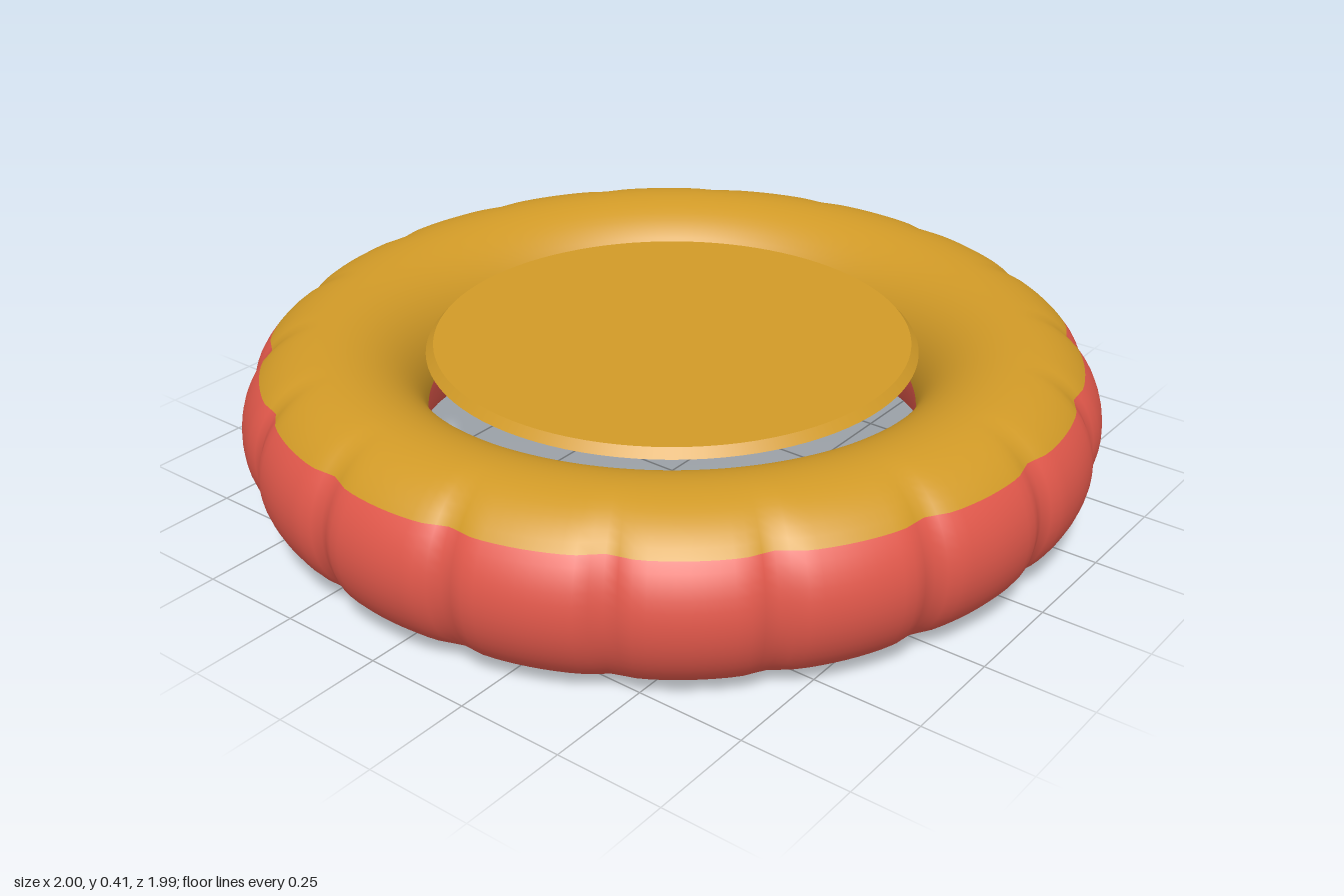
import * as THREE from 'three';
import { ParametricGeometry } from 'three/addons/geometries/ParametricGeometry.js';

const RING = 0.787;      // radius of the tube's centre line
const TUBE_X = 0.213;    // tube half width
const TUBE_Y = 0.207;    // tube half height
const PUFFS = 18;        // inflated sections between the pinched seams
const STEP = (Math.PI * 2) / PUFFS;

// Part of the tube between two cross-section angles (0 = outward, PI/2 = up)
function tubePart(name, from, to, stacks, material) {
  const surface = (u, v, target) => {
    const around = u * Math.PI * 2;
    const phi = from + (to - from) * v;
    // distance to the nearest pinched seam
    const d = around - Math.round(around / STEP) * STEP;
    const pinch = 0.02 * Math.exp(-((d / 0.04) ** 2))
      + 0.005 * (0.5 + 0.5 * Math.cos(d * PUFFS));
    const outer = Math.max(0, Math.cos(phi));
    const r = RING + TUBE_X * Math.cos(phi) - pinch * outer;
    const y = TUBE_Y + TUBE_Y * Math.sin(phi);
    target.set(r * Math.sin(around), y, r * Math.cos(around));
  };
  const mesh = new THREE.Mesh(new ParametricGeometry(surface, 216, stacks), material);
  mesh.name = name;
  return mesh;
}

export function createModel() {
  const yellow = new THREE.MeshStandardMaterial({ color: 0xd19a27 });
  yellow.name = 'golden yellow';
  const red = new THREE.MeshStandardMaterial({ color: 0xe0574a });
  red.name = 'coral red';

  const group = new THREE.Group();
  group.name = 'inflatableRing';

  // Tube: yellow upper cover, red lower and outer shell
  const edge = 0.7;
  group.add(tubePart('upperCover', edge, Math.PI - 0.04, 20, yellow));
  group.add(tubePart('lowerShell', Math.PI - 0.04, Math.PI * 2 + edge, 32, red));

  // Thin bevelled disc set in the opening
  const disc = new THREE.Mesh(new THREE.CylinderGeometry(0.555, 0.573, 0.02, 96), yellow);
  disc.name = 'centreDisc';
  disc.position.y = 0.36;
  group.add(disc);

  return group;
}
